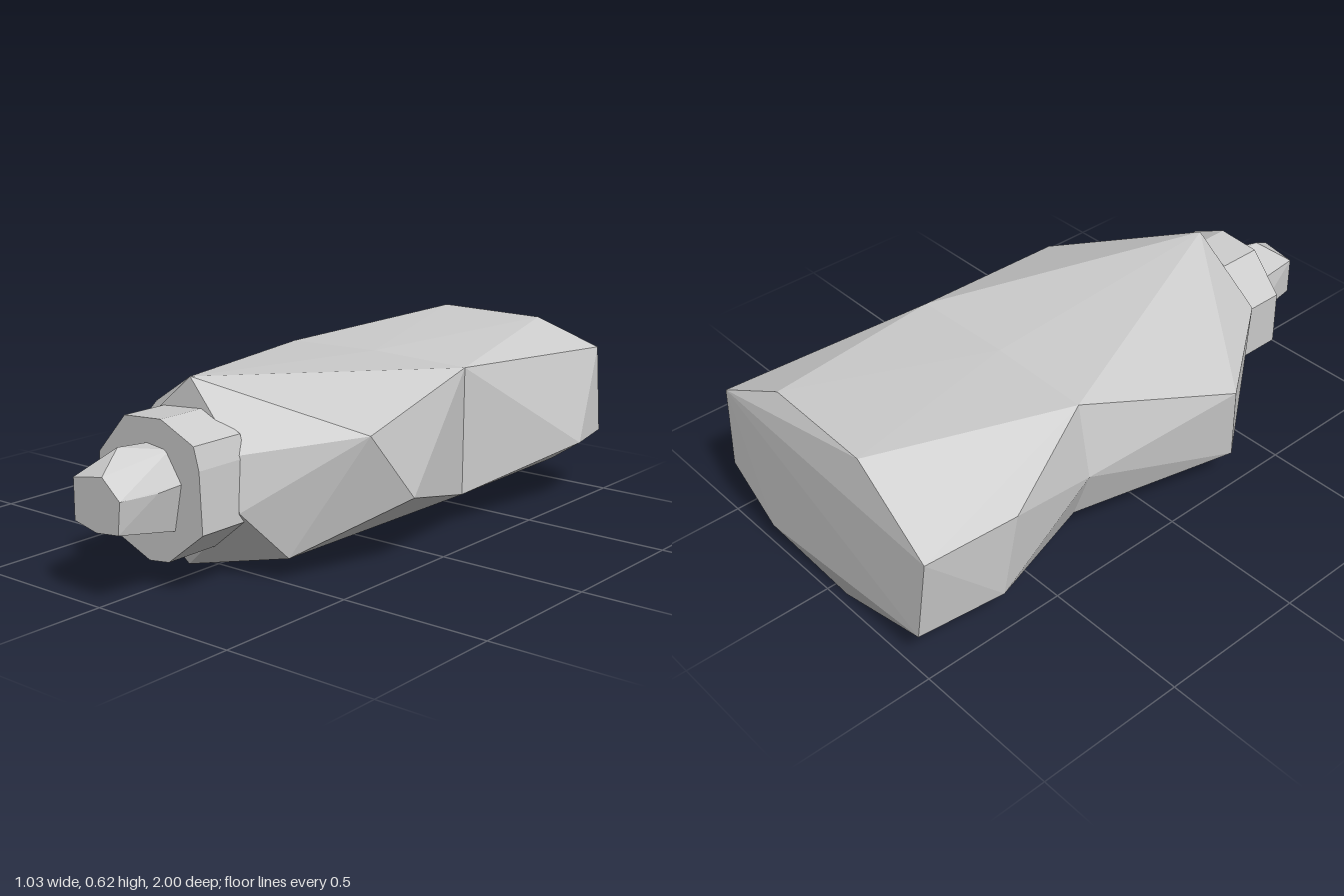
import * as THREE from 'three';
import { ConvexGeometry } from 'three/addons/geometries/ConvexGeometry.js';

const material = new THREE.MeshStandardMaterial({ color: 0xcccccc, flatShading: true });

// Faceted solid spanning a handful of corner points
function facetedPart(name, corners) {
  const geometry = new ConvexGeometry(corners.map(([x, y, z]) => new THREE.Vector3(x, y, z)));
  const mesh = new THREE.Mesh(geometry, material);
  mesh.name = name;
  return mesh;
}

// Lifts a flat outline to the given depth
const ring = (outline, z) => outline.map(([x, y]) => [x, y, z]);

export function createModel() {
  const group = new THREE.Group();
  group.name = 'bottle';

  // Narrow waist shared by both halves of the body
  const waist = ring([
    [-0.36, 0.55], [0, 0.56], [0.37, 0.55], [0.37, 0.12],
    [0, 0.06], [-0.34, 0.11], [-0.41, 0.3],
  ], -0.285);

  // Front half, tapering into the shoulders
  group.add(facetedPart('frontBody', [
    ...waist,
    [0, 0.62, 0.61], [0.47, 0.46, 0.34], [0.5, 0.235, 0.16],
    [0.28, 0.08, 0.49], [-0.05, 0.015, 0.58], [-0.49, 0.13, 0.28],
    [-0.515, 0.405, 0.25], [-0.23, 0.41, 0.64], [-0.2, 0.2, 0.63],
    [0.21, 0.24, 0.63], [0.19, 0.41, 0.62],
  ]));

  // Rear half, flaring out to the flat base
  group.add(facetedPart('rearBody', [
    ...waist,
    [-0.18, 0.61, -0.96], [0.23, 0.61, -0.95], [0.45, 0.52, -1],
    [0.515, 0.22, -0.79], [0.47, 0.22, -1], [0.28, 0.08, -1],
    [-0.06, 0.005, -0.97], [-0.45, 0.13, -0.99], [-0.49, 0.43, -0.98],
    [-0.5, 0.42, -0.65], [-0.49, 0.14, -0.7],
  ]));

  // Collar around the neck
  const collar = [
    [-0.1, 0.52], [0.05, 0.53], [0.18, 0.47], [0.2, 0.4], [0.21, 0.21],
    [0.07, 0.1], [-0.01, 0.09], [-0.13, 0.14], [-0.215, 0.2], [-0.215, 0.39],
  ];
  group.add(facetedPart('collar', [...ring(collar, 0.59), ...ring(collar, 0.785)]));

  // Faceted nozzle
  group.add(facetedPart('nozzle', [
    ...ring([
      [-0.15, 0.28], [-0.13, 0.4], [-0.01, 0.45], [0.07, 0.44],
      [0.13, 0.35], [0.1, 0.2], [-0.08, 0.19],
    ], 0.77),
    [-0.01, 0.46, 0.9], [0.12, 0.34, 0.87],
    ...ring([
      [-0.09, 0.38], [-0.09, 0.25], [0, 0.23], [0.09, 0.24], [0.1, 0.34], [0.03, 0.4],
    ], 1),
  ]));

  return group;
}
